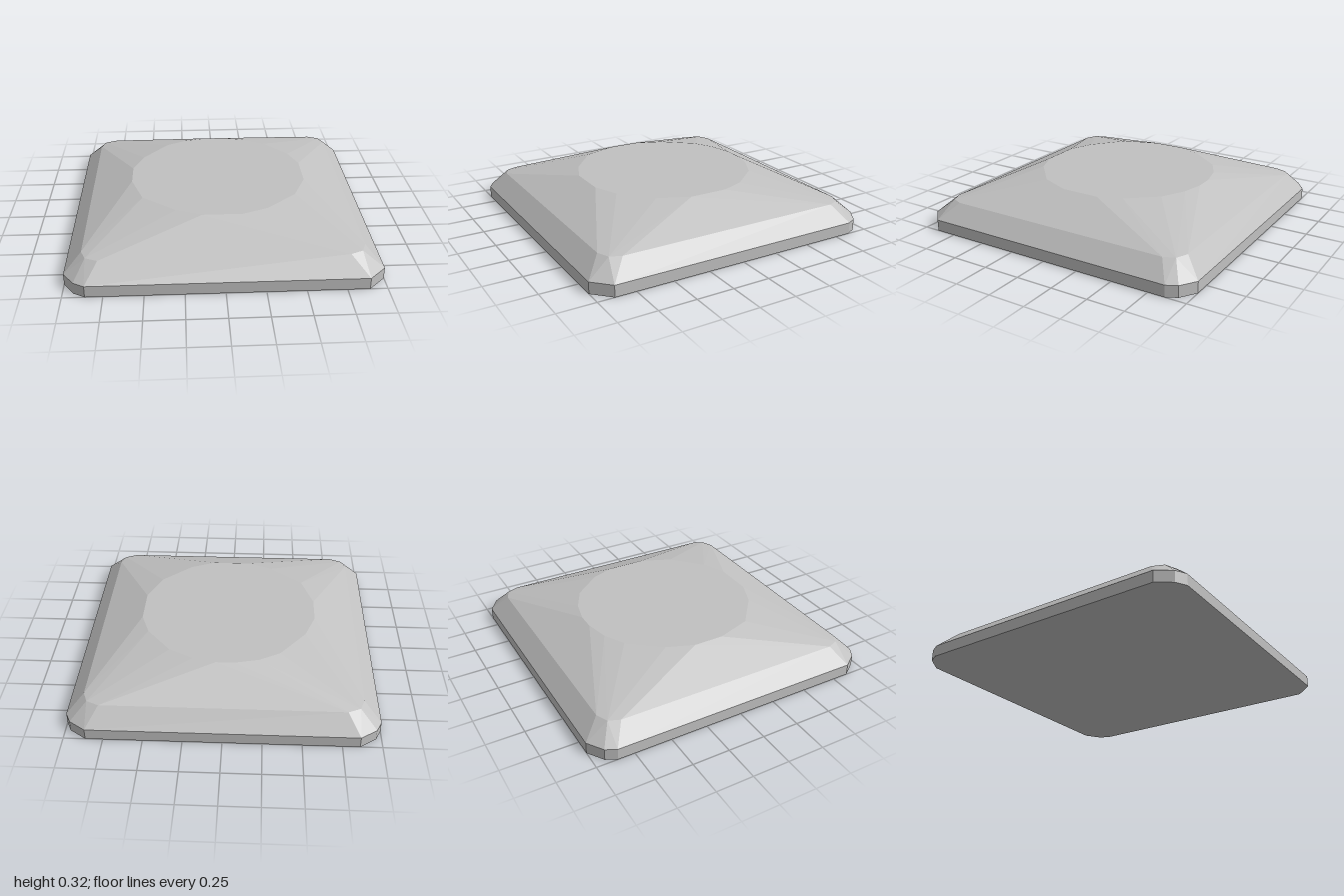
import * as THREE from 'three';
import { ConvexGeometry } from 'three/addons/geometries/ConvexGeometry.js';

// Turns flat [x, z] outline points into 3D points at one height
const ring = (outline, y) => outline.map(([x, z]) => new THREE.Vector3(x, y, z));

export function createModel() {
  const group = new THREE.Group();
  group.name = 'facetedTile';
  const grey = new THREE.MeshStandardMaterial({ color: 0xc0c0c0, flatShading: true });
  grey.name = 'light grey';

  // Square rim: three clipped, two-step corners and one plain chamfer at the front left
  const rim = [[1, 0.89], [0.89, 1]];
  for (const [sx, sz] of [[-1, 1], [-1, -1], [1, -1]]) {
    const middle = sz > 0 ? [0.93, 0.96] : [0.965, 0.93];
    for (const [x, z] of [[0.86, 1], middle, [1, 0.86]]) rim.push([sx * x, sz * z]);
  }

  // Shoulder: smaller square with clipped corners
  const shoulder = [];
  for (const sx of [-1, 1]) for (const sz of [-1, 1]) {
    for (const [x, z] of [[0.78, 0.89], [0.86, 0.855], [0.89, 0.78]]) shoulder.push([sx * x, sz * z]);
  }

  // Flat, roughly round top
  const crown = [
    [0.13, 0.59], [0.3, 0.52], [0.5, 0.34], [0.59, 0.13], [0.59, -0.13], [0.53, -0.29],
    [0.37, -0.48], [0.21, -0.565], [0.06, -0.6], [-0.06, -0.6], [-0.22, -0.565], [-0.36, -0.49],
    [-0.53, -0.28], [-0.6, -0.1], [-0.6, 0.1], [-0.52, 0.34], [-0.3, 0.52], [-0.13, 0.59],
  ];

  // Faceted solid wrapped around the stacked outlines
  const body = new THREE.Mesh(new ConvexGeometry([
    ...ring(rim, 0), ...ring(rim, 0.077), ...ring(shoulder, 0.187), ...ring(crown, 0.32),
  ]), grey);
  body.name = 'tileBody';
  group.add(body);
  return group;
}
